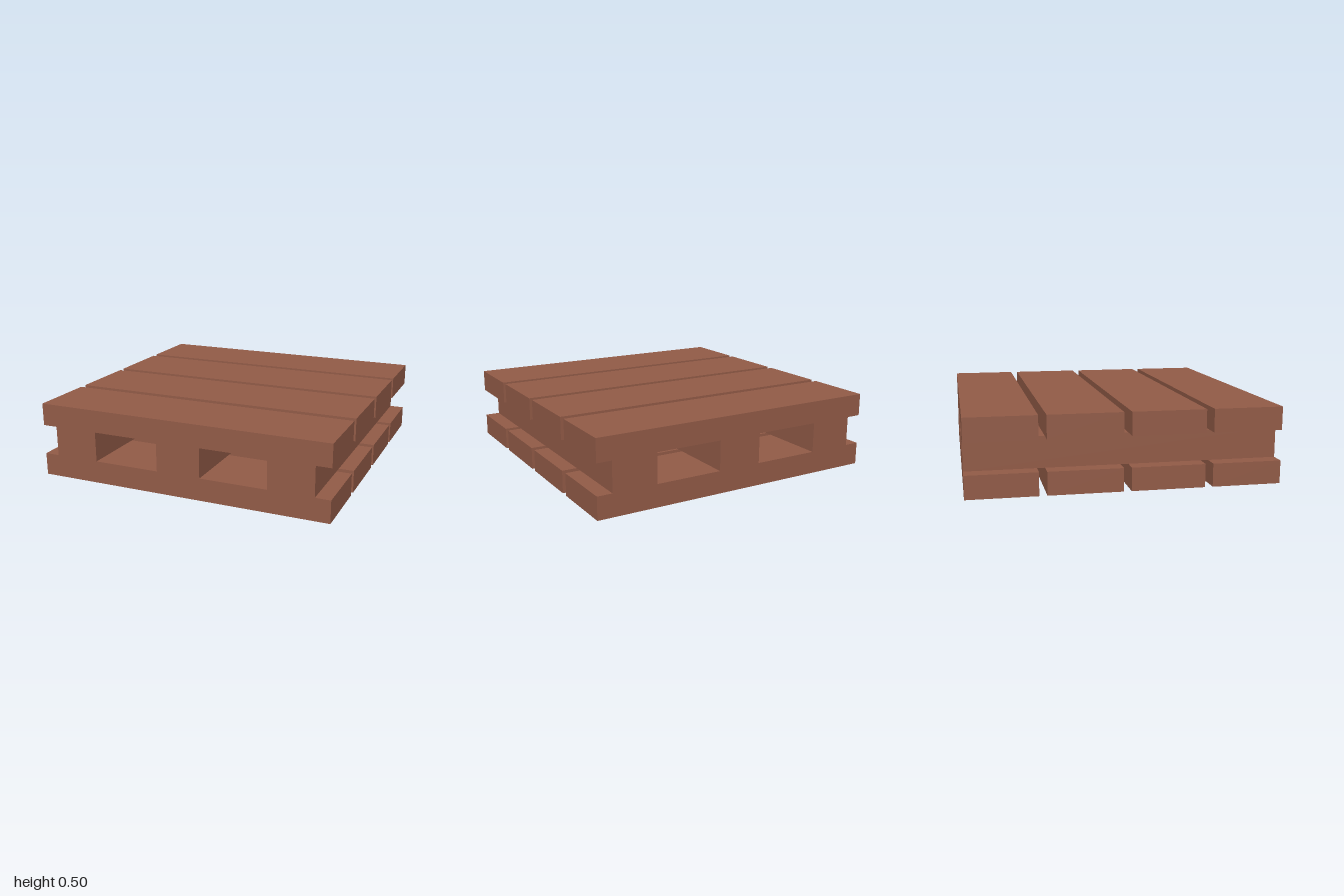
import * as THREE from 'three';

export function createModel() {
  const wood = new THREE.MeshStandardMaterial({ color: 0x925b47 });
  wood.name = 'brown wood';
  const model = new THREE.Group();
  model.name = 'pallet';

  // Box spanning the given ranges
  function addBox(name, [x0, x1], [y0, y1], [z0, z1]) {
    const mesh = new THREE.Mesh(new THREE.BoxGeometry(x1 - x0, y1 - y0, z1 - z0), wood);
    mesh.position.set((x0 + x1) / 2, (y0 + y1) / 2, (z0 + z1) / 2);
    mesh.name = name;
    model.add(mesh);
  }

  // Deck boards, bottom and top, separated by narrow gaps
  const boards = [[-1, -0.55], [-0.5, -0.025], [0.025, 0.5], [0.55, 1]];
  boards.forEach((z, i) => {
    addBox(`bottomBoard${i + 1}`, [-1, 1], [0, 0.15], z);
    addBox(`topBoard${i + 1}`, [-1, 1], [0.35, 0.5], z);
  });

  // Three bearers running front to back between the decks
  const bearers = { rightBearer: -0.75, middleBearer: 0, leftBearer: 0.75 };
  for (const [name, x] of Object.entries(bearers)) {
    addBox(name, [x - 0.15, x + 0.15], [0.15, 0.35], [-1, 1]);
  }

  return model;
}
